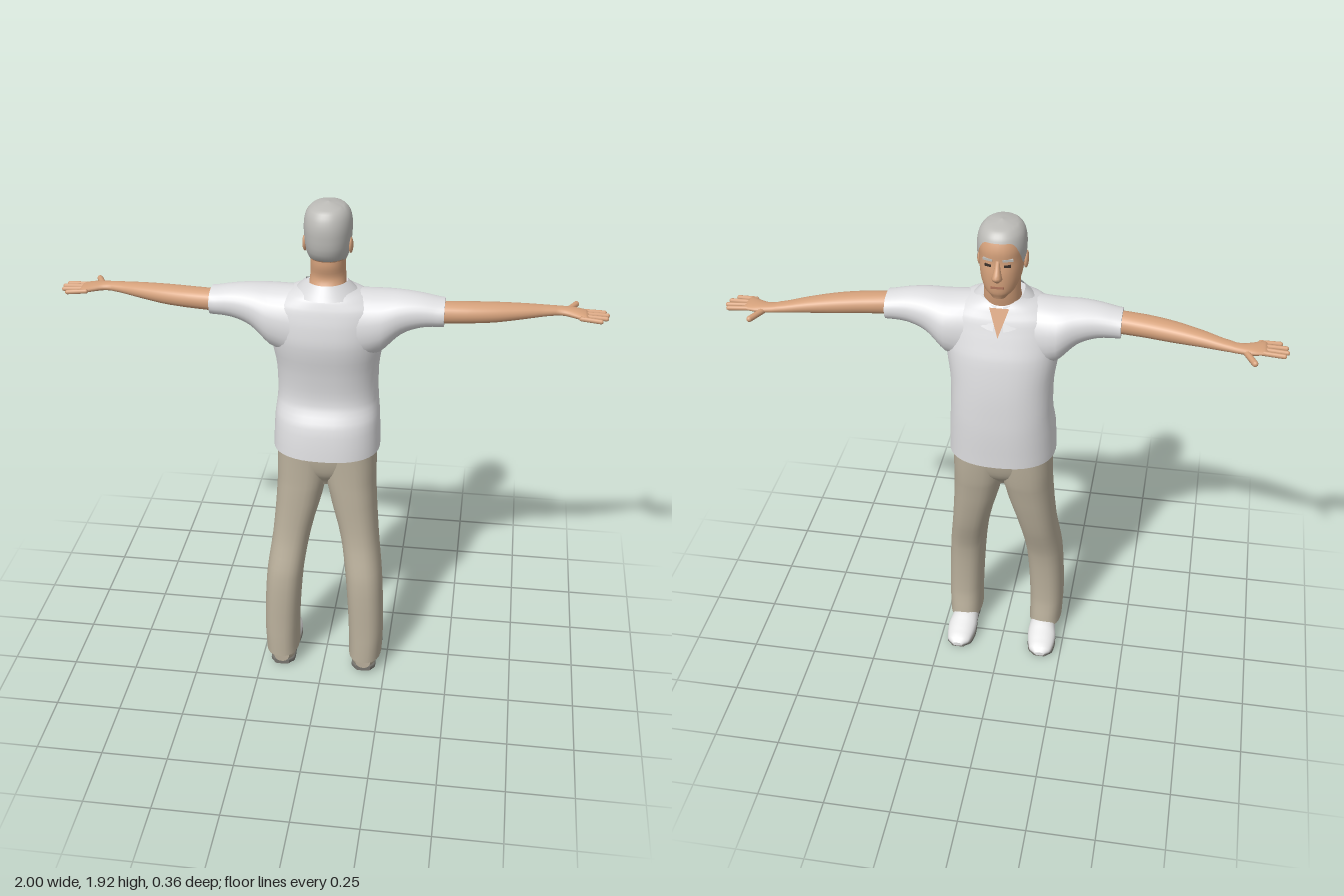
import * as THREE from 'three';
import { mergeGeometries } from 'three/addons/utils/BufferGeometryUtils.js';

const mat = (name, color, side = THREE.FrontSide) => {
  const m = new THREE.MeshStandardMaterial({ color, side });
  m.name = name;
  return m;
};

// Catmull-Rom through rows of [s, ...values], read at position s
function sample(rows, s) {
  let i = 0;
  while (i < rows.length - 2 && s > rows[i + 1][0]) i++;
  const b = rows[i], c = rows[i + 1], a = rows[i - 1] || b, d = rows[i + 2] || c;
  const t = (s - b[0]) / (c[0] - b[0]);
  return b.slice(1).map((v, k) => {
    const p = b[k + 1], q = c[k + 1], m0 = (q - a[k + 1]) / 2, m1 = (d[k + 1] - p) / 2;
    return p + t * m0 + t * t * (3 * (q - p) - 2 * m0 - m1) + t * t * t * (2 * (p - q) + m0 + m1);
  });
}

// Grid surface from f(row, column); wrap closes it around the columns
function grid(nr, nc, f, wrap, flip) {
  const pos = [], idx = [];
  for (let r = 0; r < nr; r++) for (let j = 0; j < nc; j++) pos.push(...f(r, j));
  for (let r = 0; r < nr - 1; r++) {
    for (let j = 0; j < (wrap ? nc : nc - 1); j++) {
      const a = r * nc + j, b = r * nc + (j + 1) % nc, c = a + nc, d = b + nc;
      if (flip) idx.push(a, b, c, b, d, c);
      else idx.push(a, c, b, b, c, d);
    }
  }
  const g = new THREE.BufferGeometry();
  g.setAttribute('position', new THREE.Float32BufferAttribute(pos, 3));
  g.setIndex(idx);
  g.computeVertexNormals();
  return g;
}

const power = (v, n) => Math.sign(v) * Math.abs(v) ** (2 / n);
const oval = ([u0, u1, v0, v1], a, n = 2, k = 1) => [
  (u0 + u1) / 2 + k * (u1 - u0) / 2 * power(Math.cos(a), n),
  (v0 + v1) / 2 + k * (v1 - v0) / 2 * power(Math.sin(a), n)];

// Closed loft of ovals along an axis; rows are [s, u0, u1, v0, v1]
function loft(rows, { axis = 'y', side = 1, n = 2.2, steps = 4, seg = 28 } = {}) {
  const place = {
    y: (s, u, v) => [side * u, s, v],
    x: (s, u, v) => [side * s, u, v],
    z: (s, u, v) => [side * u, v, s],
  }[axis];
  const flip = (axis !== 'y') !== (side < 0);
  const levels = [];
  rows.forEach((r, i) => {
    if (i) for (let k = 1; k <= steps; k++) levels.push(rows[i - 1][0] + (r[0] - rows[i - 1][0]) * k / steps);
    else levels.push(r[0]);
  });
  const point = (s, j, k = 1) => {
    const [u, v] = oval(sample(rows, s), j / seg * Math.PI * 2, n, k);
    return place(s, u, v);
  };
  const first = levels[0], last = levels[levels.length - 1];
  return mergeGeometries([
    grid(levels.length, seg, (r, j) => point(levels[r], j), true, flip),
    grid(2, seg, (r, j) => point(first, j, r), true, flip),
    grid(2, seg, (r, j) => point(last, j, 1 - r), true, flip),
  ]);
}
const sym = rows => rows.map(([y, x, z0, z1]) => [y, -x, x, z0, z1]);

// Rounded finger between two points
function finger(a, b, r) {
  const A = new THREE.Vector3(...a), B = new THREE.Vector3(...b), d = B.clone().sub(A);
  const g = new THREE.CapsuleGeometry(r, d.length(), 4, 10);
  g.applyQuaternion(new THREE.Quaternion().setFromUnitVectors(new THREE.Vector3(0, 1, 0), d.clone().normalize()));
  const m = A.add(B).multiplyScalar(0.5);
  return g.translate(m.x, m.y, m.z);
}

export function createModel() {
  const root = new THREE.Group();
  const skin = mat('skin', 0xd6a27c), shirt = mat('shirt', 0xdfdfe1);
  const collarCloth = mat('collarCloth', 0xd8d8da, THREE.DoubleSide);
  const trousers = mat('trousers', 0xb9af9b), hair = mat('hair', 0xbdbcb8, THREE.DoubleSide);
  const shoe = mat('shoe', 0xe2e2e2), sole = mat('sole', 0x77756f);
  const dark = mat('eyeDark', 0x3a302a), lip = mat('lip', 0xb0755c);
  const add = (name, geo, m) => {
    const mesh = new THREE.Mesh(geo, m);
    mesh.name = name;
    root.add(mesh);
    return mesh;
  };

  // Shirt body
  add('shirtBody', loft(sym([
    [0.975, 0.2, -0.165, 0.16], [1.1, 0.195, -0.17, 0.145], [1.18, 0.187, -0.17, 0.108],
    [1.3, 0.188, -0.165, 0.118], [1.42, 0.205, -0.15, 0.14], [1.5, 0.21, -0.125, 0.137],
    [1.56, 0.2, -0.105, 0.125], [1.6, 0.14, -0.085, 0.11], [1.625, 0.085, -0.07, 0.09],
  ]), { n: 2.4, seg: 40 }), shirt);

  // Hips
  add('hips', loft(sym([
    [0.82, 0.05, -0.05, 0.06], [0.88, 0.15, -0.1, 0.1], [0.95, 0.185, -0.12, 0.115], [1.02, 0.186, -0.125, 0.115],
  ])), trousers);

  // Neck and open neckline
  add('neck', loft(sym([
    [1.54, 0.08, -0.07, 0.08], [1.6, 0.07, -0.075, 0.065], [1.65, 0.064, -0.085, 0.04],
    [1.7, 0.062, -0.09, 0.05], [1.74, 0.06, -0.08, 0.05],
  ])), skin);
  const opening = new THREE.BufferGeometry();
  opening.setAttribute('position', new THREE.Float32BufferAttribute(
    [-0.035, 1.61, -0.092, 0, 1.51, -0.129, 0.035, 1.61, -0.092].reverse().map((_, i, r) => r[8 - i]), 3));
  opening.setIndex([0, 2, 1]);
  opening.computeVertexNormals();
  add('neckline', opening, skin);

  // Folded collar, open at the front with two pointed flaps
  const collarRows = 4, collarCols = 41;
  add('collar', grid(collarRows, collarCols, (r, j) => {
    const t = j / (collarCols - 1), k = r / (collarRows - 1);
    const a = -Math.PI / 2 + 0.12 + t * (Math.PI * 2 - 0.24);
    const front = Math.max(0, -Math.sin(a)), tip = front ** 3;
    const rx = 0.076 + 0.045 * k, rz = 0.082 + 0.04 * k;
    const y = 1.645 - 0.035 * front - k * (0.045 + 0.035 * tip);
    return [rx * Math.cos(a) * (1 + 0.25 * tip), y, 0.002 + rz * Math.sin(a)];
  }, false, true), collarCloth);

  // Head
  const headRows = sym([
    [1.66, 0.026, -0.115, -0.05], [1.685, 0.052, -0.126, 0], [1.72, 0.069, -0.13, 0.05],
    [1.76, 0.076, -0.13, 0.07], [1.8, 0.079, -0.125, 0.075], [1.84, 0.08, -0.125, 0.076],
    [1.88, 0.072, -0.112, 0.066], [1.903, 0.05, -0.088, 0.045], [1.915, 0, -0.025, -0.025],
  ]);
  add('head', loft(headRows), skin);

  // Hair cap: its lower edge runs from forehead over the ears to the nape
  const hairline = [[-1, 1.868], [-0.8, 1.862], [-0.6, 1.825], [-0.3, 1.775], [0, 1.79], [0.3, 1.72], [1, 1.7]];
  add('hair', grid(15, 48, (r, j) => {
    const a = j / 48 * Math.PI * 2;
    const y0 = sample(hairline, Math.sin(a))[0], y = y0 + (1.915 - y0) * Math.sin(r / 14 * Math.PI / 2);
    const [x, z] = oval(sample(headRows, y), a, 2.2, 1.06);
    return [x, y + 0.005, z];
  }, true), hair);

  // Face
  add('nose', loft(sym([
    [1.733, 0.008, -0.138, -0.11], [1.745, 0.018, -0.153, -0.11], [1.757, 0.016, -0.157, -0.11],
    [1.78, 0.011, -0.143, -0.11], [1.81, 0.008, -0.127, -0.11],
  ]), { seg: 12, steps: 2 }), skin);
  add('mouth', new THREE.BoxGeometry(0.045, 0.008, 0.008).translate(0, 1.711, -0.127), lip);

  for (const side of [1, -1]) {
    const label = side > 0 ? 'left' : 'right';
    const part = (name, rows, m, opts) => add(label + name, loft(rows, { side, ...opts }), m);

    // Eyes, brows, ears
    add(label + 'Eye', new THREE.BoxGeometry(0.024, 0.009, 0.008).rotateY(side * -0.3)
      .translate(side * 0.033, 1.79, -0.116), dark);
    add(label + 'Brow', new THREE.BoxGeometry(0.036, 0.008, 0.009).rotateY(side * -0.3)
      .translate(side * 0.034, 1.811, -0.115), hair);
    add(label + 'Ear', new THREE.SphereGeometry(1, 14, 10).scale(0.009, 0.032, 0.02)
      .rotateX(0.2).translate(side * 0.081, 1.768, -0.01), skin);

    // Sleeve
    part('Sleeve', [
      [0.08, 1.34, 1.61, -0.1, 0.125], [0.2, 1.385, 1.606, -0.11, 0.115], [0.27, 1.455, 1.606, -0.085, 0.095],
      [0.34, 1.484, 1.6, -0.068, 0.08], [0.42, 1.49, 1.586, -0.062, 0.07],
    ], shirt, { axis: 'x' });

    // Arm and palm
    part('Arm', [
      [0.36, 1.5, 1.578, -0.03, 0.056], [0.5, 1.502, 1.575, -0.05, 0.044], [0.6, 1.503, 1.57, -0.068, 0.022],
      [0.7, 1.509, 1.56, -0.086, -0.012], [0.8, 1.514, 1.547, -0.104, -0.05], [0.84, 1.514, 1.543, -0.11, -0.056],
      [0.88, 1.513, 1.541, -0.112, -0.038], [0.915, 1.515, 1.537, -0.106, -0.018], [0.925, 1.521, 1.531, -0.1, -0.025],
    ], skin, { axis: 'x', seg: 20 });

    // Fingers and thumb
    const tips = [[0.982, -0.1], [0.992, -0.076], [0.988, -0.047], [0.968, -0.02]];
    const hand = tips.map(([x, z], i) =>
      finger([side * 0.9, 1.526, -0.096 + i * 0.023], [side * x, 1.522, z], 0.0085));
    hand.push(finger([side * 0.85, 1.525, -0.095], [side * 0.884, 1.522, -0.162], 0.011));
    add(label + 'Fingers', mergeGeometries(hand), skin);

    // Trouser leg
    part('TrouserLeg', [
      [0.068, 0.102, 0.232, -0.02, 0.184], [0.2, 0.1, 0.236, 0, 0.18], [0.43, 0.085, 0.226, -0.01, 0.17],
      [0.6, 0.058, 0.205, -0.06, 0.132], [0.8, 0.008, 0.19, -0.1, 0.12], [0.9, -0.01, 0.188, -0.115, 0.116],
      [1.02, -0.02, 0.184, -0.122, 0.115],
    ], trousers, { n: 2.4 });

    // Shoe: white toe, cloth heel, flat sole
    part('ShoeToe', [
      [-0.137, 0.15, 0.19, 0.018, 0.034], [-0.115, 0.125, 0.214, 0.008, 0.052], [-0.05, 0.11, 0.224, 0.006, 0.08],
      [0, 0.11, 0.216, 0.006, 0.1], [0.07, 0.116, 0.21, 0.008, 0.1],
    ], shoe, { axis: 'z' });
    part('ShoeHeel', [
      [0.07, 0.116, 0.21, 0.012, 0.1], [0.13, 0.115, 0.212, 0.012, 0.1], [0.162, 0.135, 0.195, 0.025, 0.09],
    ], trousers, { axis: 'z' });
    part('Sole', [
      [-0.13, 0.145, 0.195, 0.008, 0.02], [-0.1, 0.12, 0.218, 0, 0.02], [-0.04, 0.11, 0.224, 0, 0.02],
      [0.05, 0.118, 0.208, 0, 0.022], [0.13, 0.116, 0.212, 0.004, 0.03], [0.16, 0.135, 0.195, 0.01, 0.034],
    ], sole, { axis: 'z', n: 4 });
  }
  return root;
}
